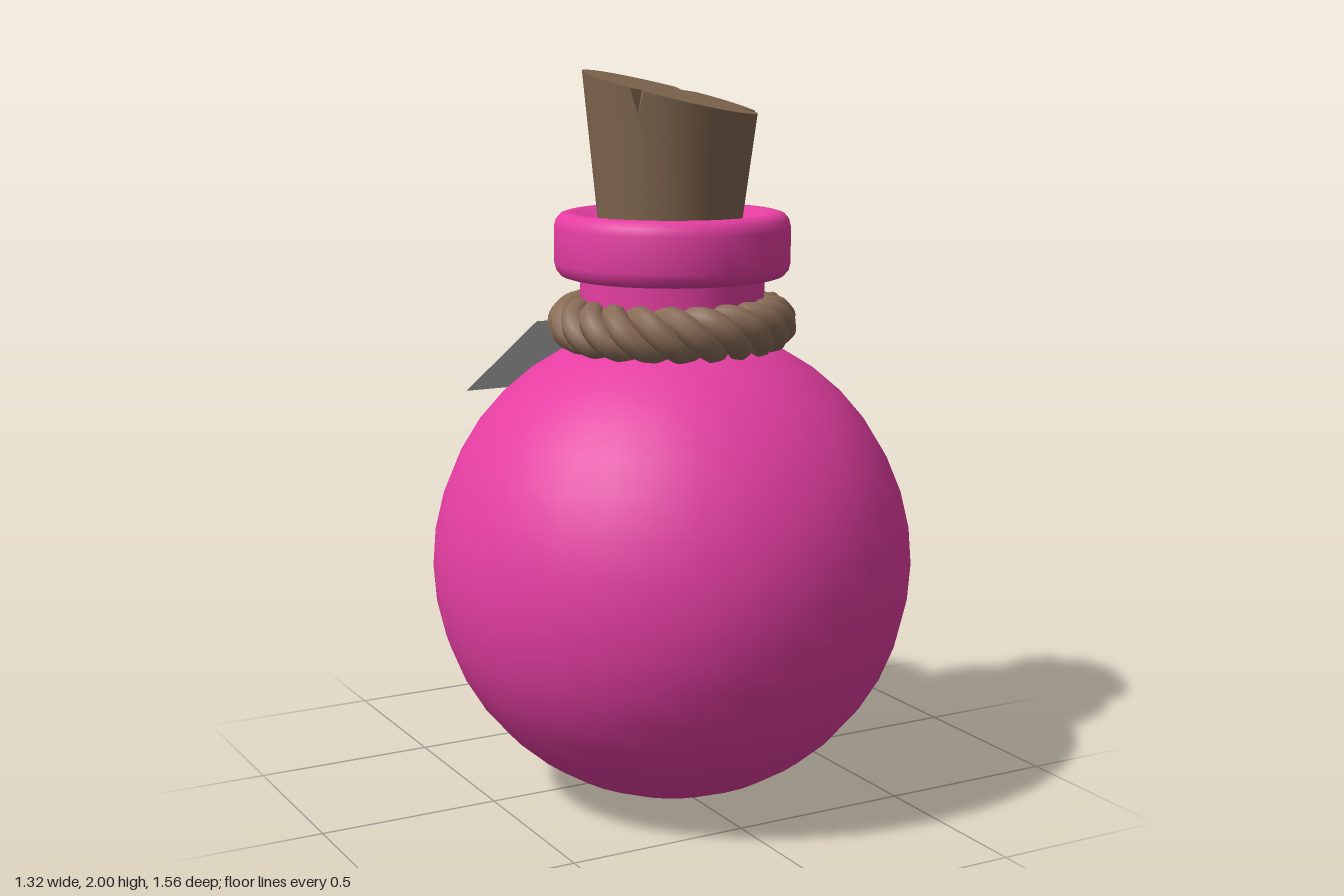
import * as THREE from 'three';
import { toCreasedNormals } from 'three/addons/utils/BufferGeometryUtils.js';

const CZ = 0.115; // the bottle's axis sits slightly forward of the origin

const glass = new THREE.MeshStandardMaterial({ color: 0xe53ea2 });
const corkBrown = new THREE.MeshStandardMaterial({ color: 0x80664f });
const ropeBrown = new THREE.MeshStandardMaterial({ color: 0x8a6d58 });
const paper = new THREE.MeshStandardMaterial({ color: 0xcccccc, side: THREE.DoubleSide });

function add(parent, name, geometry, material, x = 0, y = 0, z = 0) {
  const mesh = new THREE.Mesh(geometry, material);
  mesh.name = name;
  mesh.position.set(x, y, z);
  parent.add(mesh);
  return mesh;
}

// Neck with its thick rounded lip, dipping slightly toward the cork
function neckGeometry() {
  const profile = [
    [0.25, 1.2], [0.25, 1.455], [0.285, 1.455], [0.302, 1.46], [0.315, 1.475], [0.32, 1.495],
    [0.32, 1.59], [0.315, 1.61], [0.302, 1.625], [0.285, 1.63], [0.265, 1.628], [0.24, 1.612], [0.17, 1.602],
  ].map(([r, y]) => new THREE.Vector2(r, y));
  return toCreasedNormals(new THREE.LatheGeometry(profile, 40), 0.7);
}

// Tapered cork with a slanted top and V-shaped chips around its upper edge
function corkGeometry() {
  const y0 = 1.56, r0 = 0.19, yMid = 1.948, rTop = 0.235;
  const chips = [
    { angle: Math.atan2(-0.18, 0.15), half: 0.13, depth: 0.06, drop: 0.18 },
    { angle: Math.atan2(0.09, 0.21), half: 0.11, depth: 0.05, drop: 0.12 },
    { angle: Math.atan2(0.15, -0.18), half: 0.08, depth: 0.035, drop: 0.065 },
  ];
  const topY = (x, z) => yMid - 0.19 * x - 0.15 * z;
  const polar = (a, r, y) => new THREE.Vector3(Math.cos(a) * r, y, Math.sin(a) * r);
  const onTop = (a, r) => {
    const p = polar(a, r, 0);
    p.y = topY(p.x, p.z);
    return p;
  };

  // Columns around the wall: bottom point, wall top and outline of the cap
  const columns = [];
  const addColumn = (a, chip) => {
    const rim = onTop(a, rTop);
    let wall = rim, cap = rim;
    if (chip) {
      const y = rim.y - chip.drop;
      wall = polar(a, r0 + (rTop - r0) * (y - y0) / (rim.y - y0), y);
      cap = onTop(a, rTop - chip.depth);
    }
    columns.push({ a, base: polar(a, r0, y0), wall, cap });
  };
  for (let i = 0; i < 32; i++) {
    const a = -Math.PI + (i / 32) * Math.PI * 2;
    if (!chips.some(c => Math.abs(a - c.angle) < c.half + 0.02)) addColumn(a);
  }
  for (const c of chips) {
    addColumn(c.angle - c.half);
    addColumn(c.angle, c);
    addColumn(c.angle + c.half);
  }
  columns.sort((p, q) => p.a - q.a);

  const points = [];
  const tri = (...corners) => points.push(...corners);
  const top = new THREE.Vector3(0, yMid, 0), bottom = new THREE.Vector3(0, y0, 0);
  columns.forEach((p, i) => {
    const q = columns[(i + 1) % columns.length];
    tri(p.base, p.wall, q.wall);
    tri(p.base, q.wall, q.base);
    tri(top, q.cap, p.cap);
    tri(bottom, p.base, q.base);
    if (p.wall !== p.cap) tri(p.wall, p.cap, q.cap); // chip sides
    if (q.wall !== q.cap) tri(q.wall, p.cap, q.cap);
  });
  return toCreasedNormals(new THREE.BufferGeometry().setFromPoints(points), 0.5);
}

// One strand winding around the rope's circular core
class Strand extends THREE.Curve {
  constructor(phase) {
    super();
    this.phase = phase;
  }
  getPoint(t, target = new THREE.Vector3()) {
    const around = t * Math.PI * 2, twist = this.phase - around * 7;
    const r = 0.264 + 0.04 * Math.cos(twist);
    return target.set(Math.sin(around) * r, 0.04 * Math.sin(twist), Math.cos(around) * r);
  }
}

// Flat band bent into a ring, holding the tag
function loopGeometry() {
  const shape = new THREE.Shape().absarc(0, 0, 0.1, 0, Math.PI * 2);
  shape.holes.push(new THREE.Path().absarc(0, 0, 0.08, 0, Math.PI * 2, true));
  const g = new THREE.ExtrudeGeometry(shape, { depth: 0.045, bevelEnabled: false, curveSegments: 12 });
  g.translate(0, 0, -0.0225).rotateY(Math.PI / 2);
  return toCreasedNormals(g, 0.7);
}

export function createModel() {
  const model = new THREE.Group();
  model.name = 'potionBottle';

  // Bottle
  add(model, 'body', new THREE.SphereGeometry(0.66, 32, 20), glass, 0, 0.665, CZ);
  add(model, 'neck', neckGeometry(), glass, 0, 0, CZ);
  add(model, 'cork', corkGeometry(), corkBrown, -0.003, 0, CZ - 0.01);

  // Twisted rope around the neck
  const rope = new THREE.Group();
  rope.name = 'rope';
  rope.position.set(0, 1.33, CZ);
  for (let i = 0; i < 3; i++) {
    const curve = new Strand((i / 3) * Math.PI * 2);
    add(rope, 'ropeStrand', new THREE.TubeGeometry(curve, 210, 0.036, 8, true), ropeBrown);
  }
  model.add(rope);

  // Tag hanging from its loop at the back
  add(model, 'tagLoop', loopGeometry(), ropeBrown, -0.017, 1.357, -0.212);
  const tag = add(model, 'tag', new THREE.PlaneGeometry(0.44, 0.58), paper, -0.004, 1.158, -0.527);
  tag.rotation.x = 1.07;

  return model;
}
